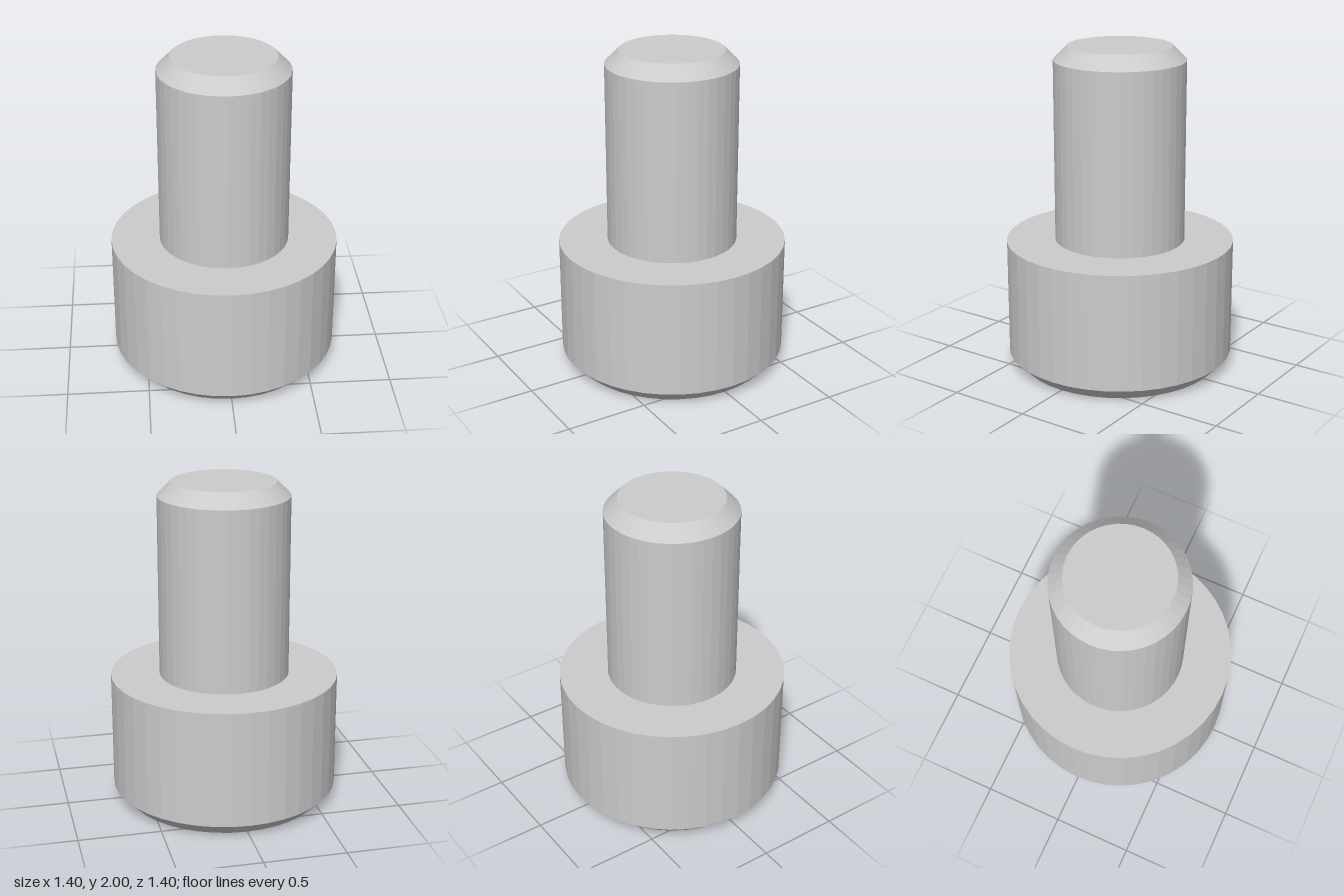
import * as THREE from 'three';

const SIDES = 40;
const HEAD_R = 0.7, HEAD_H = 0.8, FACE_R = 0.62;
const SHAFT_R = 0.4, TIP_R = 0.315;
const HEX_R = 0.346, HEX_DEPTH = 0.4;

const material = new THREE.MeshStandardMaterial({ color: 0xcccccc, flatShading: true });

function part(name, geometry) {
  const mesh = new THREE.Mesh(geometry, material);
  mesh.name = name;
  return mesh;
}

// Revolve a list of [radius, height] pairs around the y axis
function revolve(profile, sides) {
  return new THREE.LatheGeometry(profile.map(([r, y]) => new THREE.Vector2(r, y)), sides);
}

// Regular polygon with a corner on the second axis
function polygon(radius, sides) {
  return Array.from({ length: sides }, (_, i) => {
    const a = (i / sides) * Math.PI * 2;
    return new THREE.Vector2(Math.sin(a) * radius, Math.cos(a) * radius);
  });
}

export function createModel() {
  const bolt = new THREE.Group();
  bolt.name = 'socketHeadBolt';

  // Head: chamfered lower rim, cylinder wall and shoulder up to the shaft
  bolt.add(part('head', revolve(
    [[FACE_R, 0], [HEAD_R, 0.08], [HEAD_R, HEAD_H], [SHAFT_R, HEAD_H]], SIDES)));

  // Shaft with a chamfered tip
  bolt.add(part('shaft', revolve(
    [[SHAFT_R, HEAD_H], [SHAFT_R, 1.915], [TIP_R, 2], [0, 2]], SIDES)));

  // Underside of the head, pierced by the hexagonal opening
  const face = new THREE.Shape(polygon(FACE_R, SIDES));
  face.holes.push(new THREE.Path(polygon(HEX_R, 6)));
  bolt.add(part('headFace', new THREE.ShapeGeometry(face).rotateX(Math.PI / 2)));

  // Hexagonal socket: floor and inward-facing walls
  bolt.add(part('hexSocket', revolve([[0, HEX_DEPTH], [HEX_R, HEX_DEPTH], [HEX_R, 0]], 6)));

  return bolt;
}
